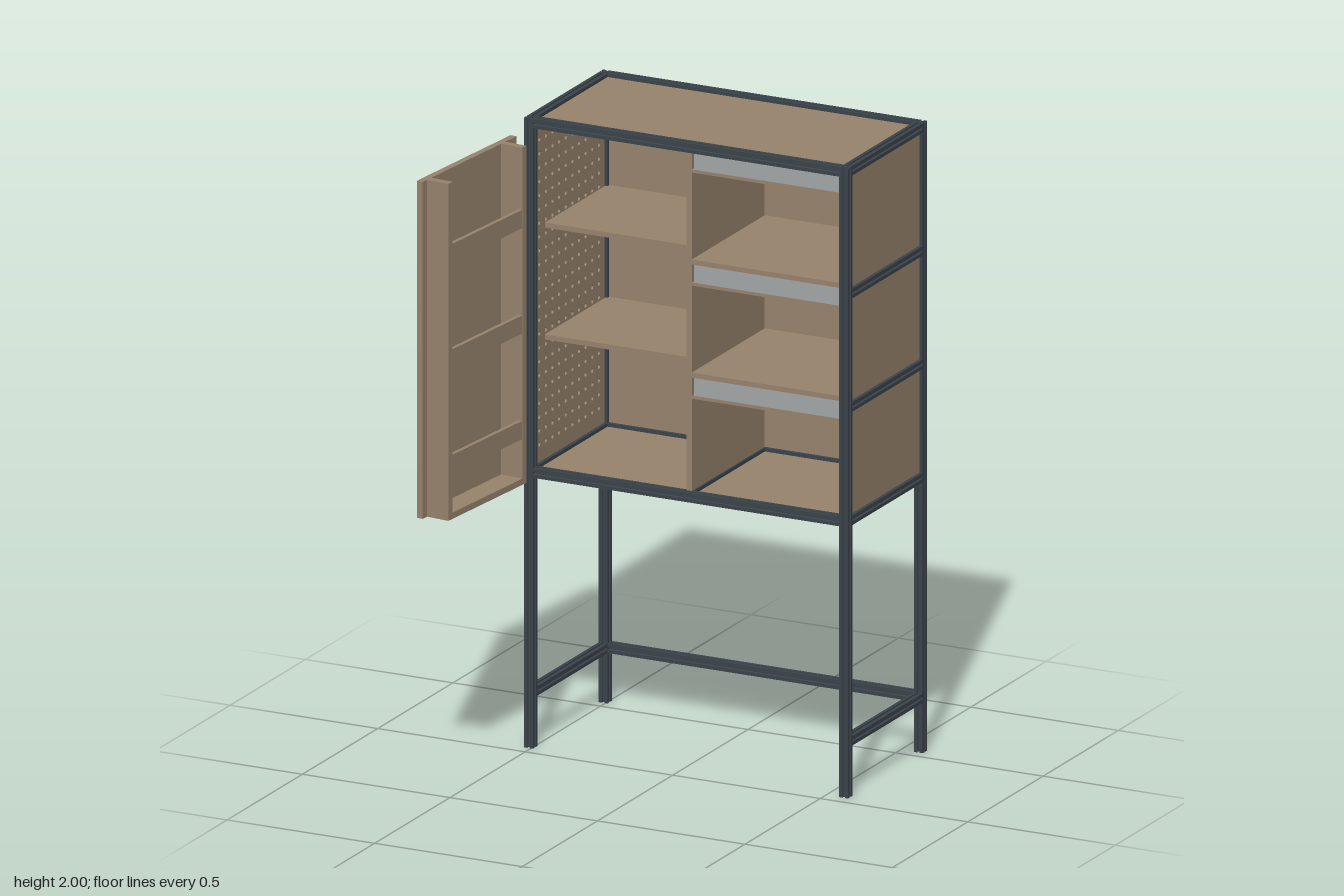
import * as THREE from 'three';

const mat = (name, color) => {
  const m = new THREE.MeshStandardMaterial({ color });
  m.name = name;
  return m;
};

export function createModel() {
  const model = new THREE.Group();
  model.name = 'cabinet';
  const wood = mat('wood', 0x98846d);
  const frameMat = mat('darkFrame', 0x3b444b);
  const steel = mat('hingeSteel', 0x747b80);
  const glassGrey = mat('paleStrip', 0xa4a8a8);

  // box given by its min and max corners
  const box = (name, x0, x1, y0, y1, z0, z1, m, parent = model) => {
    const mesh = new THREE.Mesh(new THREE.BoxGeometry(x1 - x0, y1 - y0, z1 - z0), m);
    mesh.position.set((x0 + x1) / 2, (y0 + y1) / 2, (z0 + z1) / 2);
    mesh.name = name;
    parent.add(mesh);
    return mesh;
  };

  // slotted bar cross-section: one side turned four times
  const H = 0.015;
  const side = [[H, -H], [H, -0.004], [0.011, -0.004], [0.011, -0.007], [0.006, -0.004],
    [0.006, 0.004], [0.011, 0.007], [0.011, 0.004], [H, 0.004]];
  const pts = [];
  for (let i = 0; i < 4; i++) {
    for (const [x, y] of side) {
      pts.push(new THREE.Vector2(x, y).rotateAround(new THREE.Vector2(), i * Math.PI / 2));
    }
  }
  const section = new THREE.Shape(pts);
  const bar = (name, axis, length, x, y, z) => {
    const g = new THREE.ExtrudeGeometry(section, { depth: length, bevelEnabled: false });
    g.translate(0, 0, -length / 2);
    if (axis === 'x') g.rotateY(Math.PI / 2);
    if (axis === 'y') g.rotateX(-Math.PI / 2);
    const mesh = new THREE.Mesh(g, frameMat);
    mesh.position.set(x, y, z);
    mesh.name = name;
    model.add(mesh);
  };

  // frame: centre lines of the bars
  const XL = -0.508, XR = 0.56, ZF = -0.053, ZB = -0.548;
  const CX = (XL + XR) / 2, CZ = (ZF + ZB) / 2;
  const LX = XR - XL - 2 * H, LZ = ZF - ZB - 2 * H;
  const TOP = 1.985, BASE = 0.875, LOW = 0.175;
  for (const x of [XL, XR]) {
    for (const z of [ZF, ZB]) bar('post', 'y', 2, x, 1, z);
    for (const y of [TOP, BASE, LOW]) bar('sideRail', 'z', LZ, x, y, CZ);
  }
  for (const y of [TOP, BASE]) {
    bar('frontRail', 'x', LX, CX, y, ZF);
    bar('backRail', 'x', LX, CX, y, ZB);
  }
  bar('lowerBackRail', 'x', LX, CX, LOW, ZB);
  bar('underRail', 'z', LZ, 0.025, BASE, CZ);
  for (const y of [1.595, 1.235]) bar('shelfRail', 'z', LZ, XR, y, CZ);

  // infill panels held in the slots
  const T = 0.0035;
  box('topPanel', XL, XR, TOP - T, TOP + T, ZB, ZF, wood);
  box('bottomPanel', XL, XR, BASE - T, BASE + T, ZB, ZF, wood);
  box('backPanel', XL, XR, BASE, TOP, ZB - T, ZB + T, wood);
  box('sidePanel', XR - T, XR + T, BASE, TOP, ZB, ZF, wood);

  // perforated panel on the hinge side
  const w = ZF - ZB, h = TOP - BASE;
  const peg = new THREE.Shape([[0, 0], [w, 0], [w, h], [0, h]].map(p => new THREE.Vector2(...p)));
  const cols = 10, rows = 23, pitch = 0.044;
  for (let i = 0; i < cols; i++) {
    for (let j = 0; j < rows; j++) {
      const hole = new THREE.Path();
      hole.absarc(w / 2 + (i - (cols - 1) / 2) * pitch, h / 2 + (j - (rows - 1) / 2) * pitch, 0.007, 0, Math.PI * 2, true);
      peg.holes.push(hole);
    }
  }
  const pegGeo = new THREE.ExtrudeGeometry(peg, { depth: 2 * T, bevelEnabled: false, curveSegments: 8 });
  pegGeo.rotateY(-Math.PI / 2);
  const pegPanel = new THREE.Mesh(pegGeo, wood);
  pegPanel.position.set(XL + T, BASE, ZB);
  pegPanel.name = 'perforatedPanel';
  model.add(pegPanel);

  // interior divider, shelves and pale strips
  box('divider', 0.016, 0.034, 0.88, 1.97, ZB, -0.06, wood);
  for (const y of [1.635, 1.28]) box('leftShelf', -0.5, 0.016, y - 0.008, y + 0.008, ZB, -0.13, wood);
  for (const y of [1.617, 1.258]) box('rightShelf', 0.034, 0.555, y - 0.008, y + 0.008, ZB, -0.06, wood);
  for (const y of [1.968, 1.609, 1.25]) {
    box('stripPlate', 0.04, 0.544, y - 0.057, y, -0.07, -0.062, glassGrey);
    box('stripEdge', 0.034, 0.545, y - 0.067, y - 0.057, -0.074, -0.06, wood);
  }

  // open door: local z runs from hinge to free edge, local x points inward
  const door = new THREE.Group();
  door.name = 'door';
  door.position.set(-0.53, 0, 0.038);
  door.rotation.y = -0.095;
  model.add(door);
  const D0 = 0.895, D1 = 1.965;
  box('doorPanel', 0, 0.021, D0, D1, 0, 0.527, wood, door);
  for (const z of [0.062, 0.478]) box('doorStile', 0.021, 0.097, D0, D1, z, z + 0.024, wood, door);
  box('doorBase', 0.021, 0.097, D0, D0 + 0.02, 0.086, 0.478, wood, door);
  for (const y of [1.04, 1.375, 1.71]) {
    box('doorShelf', 0.021, 0.085, y, y + 0.014, 0.086, 0.478, wood, door);
    box('doorLip', 0.083, 0.096, y, y + 0.058, 0.086, 0.478, wood, door);
  }

  // hinges: post plate with knuckle, door clip and outer plate
  for (const y of [1.825, 1.07]) {
    box('hingePlate', -0.523, -0.515, y - 0.052, y + 0.052, -0.04, 0, steel);
    box('hingeMount', -0.53, -0.507, y - 0.035, y + 0.035, -0.022, -0.01, steel);
    box('hingeClip', -0.008, 0.03, y - 0.034, y + 0.034, -0.002, 0.012, steel, door);
    box('hingeLeaf', -0.006, 0, y - 0.034, y + 0.034, 0.01, 0.07, steel, door);
    const cup = new THREE.Mesh(new THREE.CylinderGeometry(0.03, 0.03, 0.01, 20), steel);
    cup.rotation.z = Math.PI / 2;
    cup.position.set(-0.003, y, 0.075);
    cup.name = 'hingeCup';
    door.add(cup);
  }
  return model;
}
